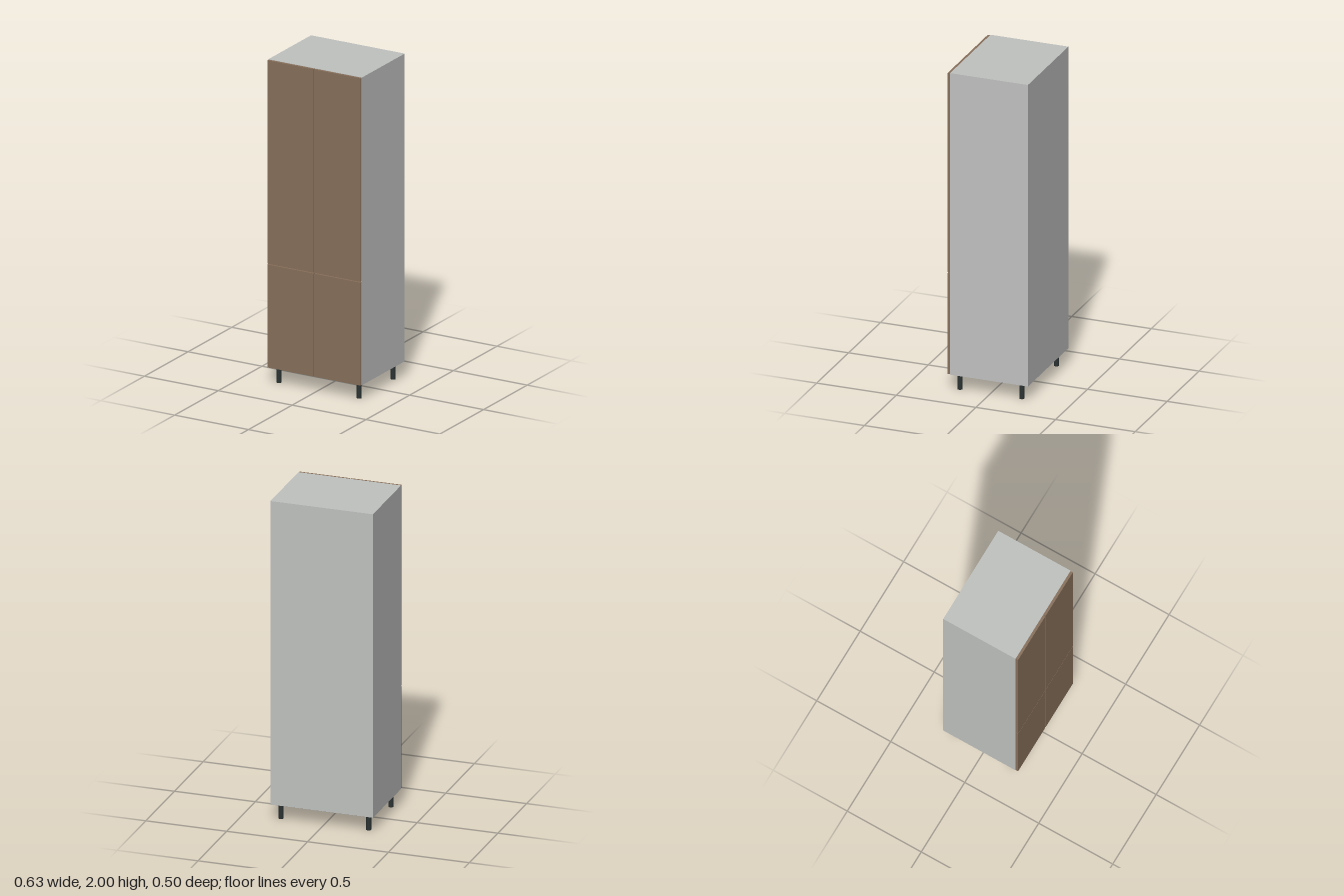
import * as THREE from 'three';

export function createModel() {
  const model = new THREE.Group();
  model.name = 'tallCabinet';

  const material = (name, color) => {
    const m = new THREE.MeshStandardMaterial({ color });
    m.name = name;
    return m;
  };
  const grey = material('greyPanel', 0xc0c2c0);
  const brown = material('brownFront', 0x88705b);
  const dark = material('darkLeg', 0x2b3232);

  // Box given by its lower and upper limits on each axis
  const panel = (name, mat, [x0, x1], [y0, y1], [z0, z1]) => {
    const mesh = new THREE.Mesh(new THREE.BoxGeometry(x1 - x0, y1 - y0, z1 - z0), mat);
    mesh.position.set((x0 + x1) / 2, (y0 + y1) / 2, (z0 + z1) / 2);
    mesh.name = name;
    model.add(mesh);
  };

  const W = 0.317, T = 0.014, bottom = 0.1, top = 2;
  const back = -0.253, carcassFront = 0.236, front = 0.252;
  const inner = [-W + T, W - T];
  const depth = [back + 0.003, carcassFront];

  // Carcass
  panel('leftSide', grey, [W - T, W], [bottom, top], depth);
  panel('rightSide', grey, [-W, -W + T], [bottom, top], depth);
  panel('topPanel', grey, inner, [top - T, top], depth);
  panel('bottomPanel', grey, inner, [bottom, bottom + T], depth);
  panel('backPanel', grey, [-W, W], [bottom, top], [back, back + 0.003]);

  // Inner shelves, the first one behind the joint between the doors
  for (const y of [0.74, 1.16, 1.58]) {
    panel('shelf', grey, inner, [y - T / 2, y + T / 2], [back + 0.003, carcassFront - 0.005]);
  }

  // Two lower and two upper doors with narrow gaps
  const gap = 0.0025, split = 0.74, edge = W - 0.002;
  for (const [row, range] of [
    ['lower', [bottom + 0.002, split - gap]],
    ['upper', [split + gap, top - 0.002]],
  ]) {
    panel(row + 'LeftDoor', brown, [gap, edge], range, [carcassFront, front]);
    panel(row + 'RightDoor', brown, [-edge, -gap], range, [carcassFront, front]);
  }

  // Round legs
  const legGeometry = new THREE.CylinderGeometry(0.015, 0.015, bottom, 24);
  for (const x of [-0.271, 0.271]) {
    for (const z of [-0.197, 0.192]) {
      const leg = new THREE.Mesh(legGeometry, dark);
      leg.position.set(x, bottom / 2, z);
      leg.name = 'leg';
      model.add(leg);
    }
  }

  return model;
}
